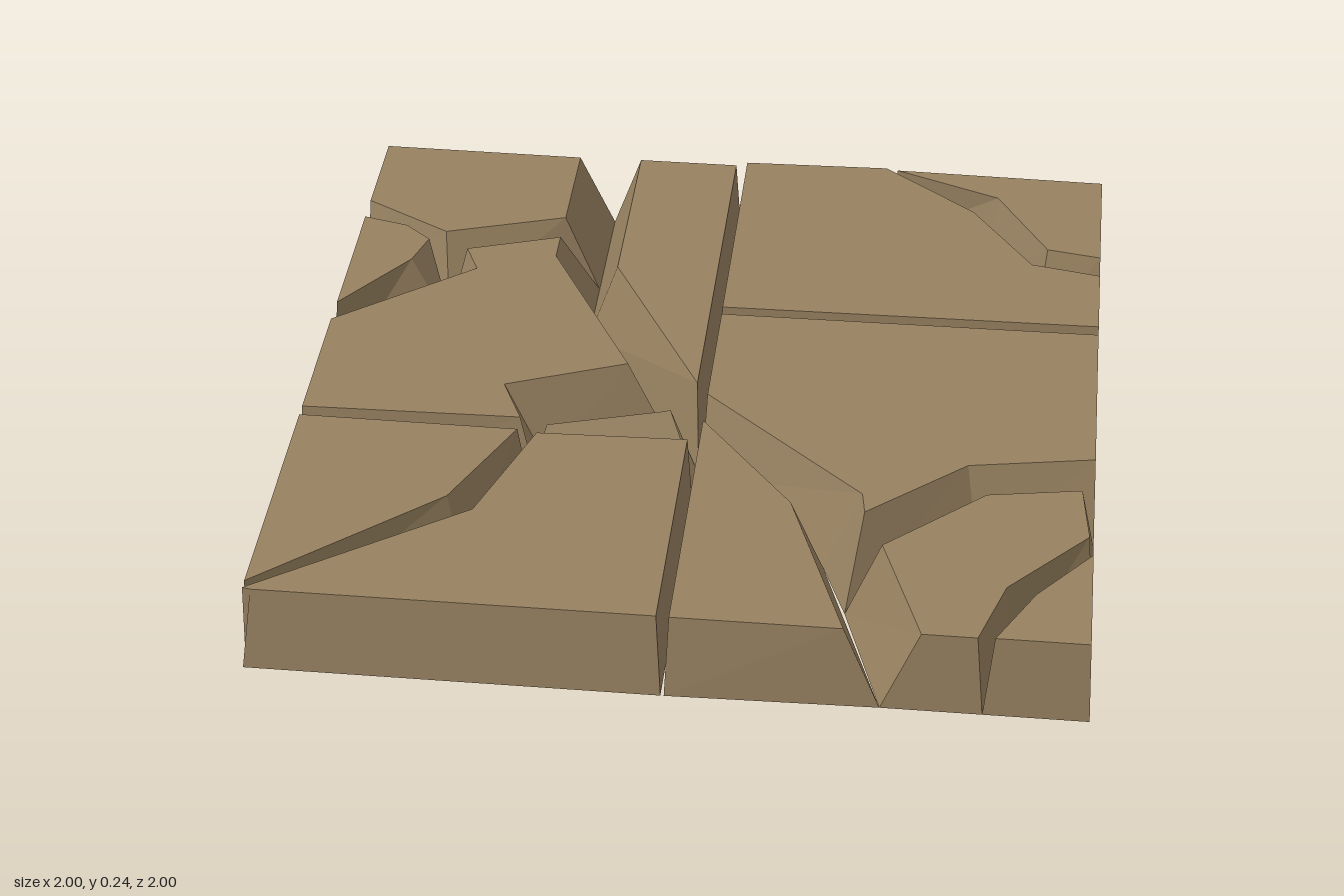
import * as THREE from 'three';

const stone = new THREE.MeshStandardMaterial({ color: 0x978160, flatShading: true });

// Stone slab with slanted walls. Each corner is [topX, topZ, bottomX, bottomZ]
// in hundredths of a unit; the top is the plane h + sx * x + sz * z.
function slab(name, corners, h, sx = 0, sz = 0) {
  const flat = (c, k) => new THREE.Vector2(c[k] / 100, -c[k + 1] / 100);
  if (THREE.ShapeUtils.isClockWise(corners.map(c => flat(c, 0)))) corners = corners.slice().reverse();
  const tops2 = corners.map(c => flat(c, 0));
  const bots2 = corners.map(c => flat(c, 2));
  const top = tops2.map(p => [p.x, h + sx * p.x - sz * p.y, -p.y]);
  const bot = bots2.map(p => [p.x, 0, -p.y]);
  const pos = [];
  const tri = (a, b, c) => pos.push(...a, ...b, ...c);
  // top and underside
  for (const [a, b, c] of THREE.ShapeUtils.triangulateShape(tops2, [])) tri(top[a], top[b], top[c]);
  for (const [a, b, c] of THREE.ShapeUtils.triangulateShape(bots2, [])) tri(bot[c], bot[b], bot[a]);
  // walls
  for (let i = 0; i < top.length; i++) {
    const j = (i + 1) % top.length;
    tri(bot[i], bot[j], top[j]);
    tri(bot[i], top[j], top[i]);
  }
  const geo = new THREE.BufferGeometry();
  geo.setAttribute('position', new THREE.Float32BufferAttribute(pos, 3));
  geo.computeVertexNormals();
  const mesh = new THREE.Mesh(geo, stone);
  mesh.name = name;
  return mesh;
}

function tile(name, ...pieces) {
  const g = new THREE.Group();
  g.name = name;
  g.add(...pieces);
  return g;
}

export function createModel() {
  const model = new THREE.Group();
  model.name = 'crackedStoneFloor';

  // Back right tile, split in four with a sunken chip at its front corner
  model.add(tile('backRightTile',
    slab('cornerPiece', [
      [-99, -98, -100, -100], [-45, -97.5, -36, -100], [-45, -67, -36, -66],
      [-76, -57, -75, -50], [-99, -70, -100, -65],
    ], 0.222),
    slab('edgeShard', [
      [-99, -62, -100, -65], [-87, -59, -86, -57], [-80, -53, -75, -50],
      [-83, -43, -72, -41.5], [-99, -21, -100, -17],
    ], 0.222),
    slab('mainPiece', [
      [-99, -13, -100, -17], [-65, -40, -72, -41.5], [-69, -49, -75, -50],
      [-45, -57, -36, -66], [-45, -48, -36, -44], [-20, -1, -9, 1],
      [-50, 11, -39, 14], [-44, 24.5, -39, 27], [-99, 25.5, -100, 27.5],
    ], 0.225),
    slab('innerStrip', [
      [-28, -97, -36, -100], [-1.5, -97, -0.4, -100],
      [-1.5, 6, -0.4, 14], [-28, -44, -36, -44],
    ], 0.228),
    slab('sunkenChip', [
      [-10, 2, -9, 1], [-9, 1, -0.4, 14], [-2, 27, -0.4, 28],
      [-33.5, 26.5, -39, 28], [-39, 20, -41, 24], [-39, 14, -41, 13],
    ], 0.1, 0, 0.2),
  ));

  // Front right tile, split by a diagonal crack
  model.add(tile('frontRightTile',
    slab('cornerPiece', [
      [-99, 29, -100, 28], [-44, 29.5, -41, 28], [-57, 58, -53, 59], [-99, 95, -100, 97],
    ], 0.225),
    slab('mainPiece', [
      [-39, 30.5, -41, 28], [-1.5, 29.5, -0.4, 28], [-1.5, 98, -0.4, 100],
      [-97, 98, -100, 100], [-99, 97.5, -100, 97], [-50, 62.5, -53, 59],
    ], 0.225),
  ));

  // Back left tile with a broken-off corner
  model.add(tile('backLeftTile',
    slab('mainPiece', [
      [1.5, -97, 0.4, -100], [40, -98, 35, -100], [64.5, -79, 68, -83],
      [81, -55.5, 83, -59], [99, -52, 100, -56], [99, -29, 100, -27.7], [1.5, -28, 0.4, -27.3],
    ], 0.226, 0, -0.013),
    slab('cornerPiece', [
      [43, -98, 41.5, -100], [99, -97, 100, -99.5], [99, -61, 100, -57],
      [85, -63.5, 83, -59], [71, -87, 68, -83],
    ], 0.223, 0, -0.011),
  ));

  // Front left tile, broken into four
  model.add(tile('frontLeftTile',
    slab('mainPiece', [
      [1.5, -25.5, 0.4, -26.4], [99, -26, 100, -26.8], [99, 27.5, 100, 34],
      [68, 33, 71.5, 39], [44, 54, 40.5, 65.7], [43, 47, 34, 48.5], [1.5, 10, 0.4, 15.5],
    ], 0.225),
    slab('innerPiece', [
      [1.5, 21, 0.4, 15.5], [26, 52, 34, 48.5], [42, 98, 51, 99],
      [1.5, 98, 0.4, 100],
    ], 0.224),
    slab('outerPiece', [
      [49, 66, 40.5, 65.7], [73, 44, 71.5, 39], [96, 40, 100, 34],
      [98, 58, 100, 62], [79, 79, 81, 80], [73, 98, 75, 99], [60, 98, 51, 99],
    ], 0.223),
    slab('cornerPiece', [
      [99, 65, 100, 62], [86, 81, 81, 80], [77, 98, 75, 99], [99, 98, 100, 99],
    ], 0.225),
  ));
  return model;
}
